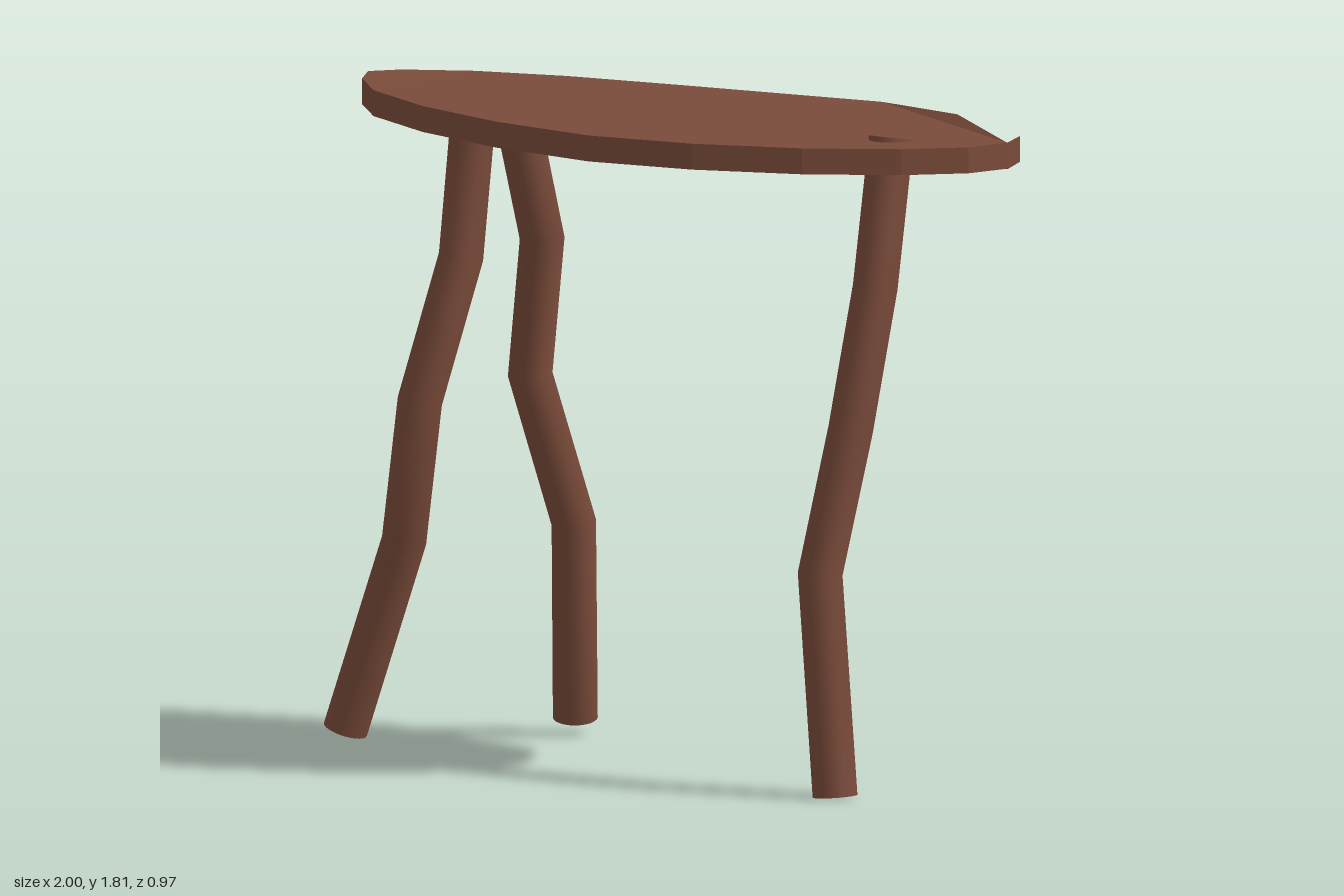
import * as THREE from 'three';
import { toCreasedNormals } from 'three/addons/utils/BufferGeometryUtils.js';

const RADIUS = 0.06;

// Seat outline as [x, z, sag]; sag lowers the rim where the slab is warped
const OUTLINE = [
  [-1, -0.01, 0], [-0.95, 0.1, 0], [-0.83, 0.235, 0], [-0.6, 0.355, 0], [-0.32, 0.435, 0],
  [0, 0.48, 0], [0.31, 0.455, 0], [0.6, 0.365, 0], [0.83, 0.23, 0], [0.96, 0.1, 0],
  [1, -0.03, 0], [0.96, -0.16, 0], [0.84, -0.29, 0.045], [0.61, -0.405, 0], [0.32, -0.49, 0],
  [0.02, -0.475, 0.035], [-0.28, -0.425, 0], [-0.58, -0.34, 0], [-0.8, -0.23, 0], [-0.95, -0.1, 0],
];

// Crooked leg centre lines, foot to top
const LEGS = {
  leftLeg: [[0.645, 0.015, 0.27], [0.595, 0.61, 0.265], [0.66, 1, 0.215], [0.7, 1.38, 0.155], [0.71, 1.776, 0.09]],
  rightFrontLeg: [[-0.875, 0.085, 0.305], [-0.69, 0.61, 0.305], [-0.6, 1, 0.37], [-0.545, 1.38, 0.25], [-0.52, 1.75, 0.23]],
  rightBackLeg: [[-0.59, 0.055, -0.4], [-0.52, 0.6, -0.28], [-0.62, 1, -0.22], [-0.545, 1.38, -0.16], [-0.595, 1.75, -0.1]],
};

// Slab extruded upward, then tilted and sagged vertex by vertex
function seatGeometry() {
  const shape = new THREE.Shape(OUTLINE.map(([x, z]) => new THREE.Vector2(x, -z)));
  const geo = new THREE.ExtrudeGeometry(shape, { depth: 0.07, bevelEnabled: false });
  geo.rotateX(-Math.PI / 2);
  const pos = geo.attributes.position;
  for (let i = 0; i < pos.count; i++) {
    const x = pos.getX(i), z = pos.getZ(i);
    const point = OUTLINE.find(([px, pz]) => Math.hypot(px - x, pz - z) < 1e-4);
    const slope = 1.705 - 0.006 * x + 0.034 * Math.max(0, -x) ** 1.5;
    pos.setY(i, pos.getY(i) + slope - (point ? point[2] : 0));
  }
  geo.computeVertexNormals();
  return geo;
}

// Capped cylinder whose rings are moved onto a centre line
function legGeometry(points) {
  const path = points.map((p) => new THREE.Vector3(...p));
  const last = path.length - 1;
  const up = new THREE.Vector3(0, 1, 0);
  const turns = path.map((p, i) => {
    const dir = new THREE.Vector3();
    if (i > 0) dir.add(p.clone().sub(path[i - 1]).normalize());
    if (i < last) dir.add(path[i + 1].clone().sub(p).normalize());
    return new THREE.Quaternion().setFromUnitVectors(up, dir.normalize());
  });
  const geo = new THREE.CylinderGeometry(RADIUS, RADIUS, last, 24, last);
  const pos = geo.attributes.position;
  const v = new THREE.Vector3();
  for (let i = 0; i < pos.count; i++) {
    const ring = Math.round(pos.getY(i) + last / 2);
    v.set(pos.getX(i), 0, pos.getZ(i)).applyQuaternion(turns[ring]).add(path[ring]);
    pos.setXYZ(i, v.x, v.y, v.z);
  }
  return toCreasedNormals(geo, 0.6);
}

export function createModel() {
  const model = new THREE.Group();
  model.name = 'stool';
  const wood = new THREE.MeshStandardMaterial({ color: 0x7a4b3a });
  wood.name = 'brown wood';

  const add = (name, geometry) => {
    const mesh = new THREE.Mesh(geometry, wood);
    mesh.name = name;
    model.add(mesh);
  };
  add('seat', seatGeometry());
  for (const [name, points] of Object.entries(LEGS)) add(name, legGeometry(points));
  return model;
}
